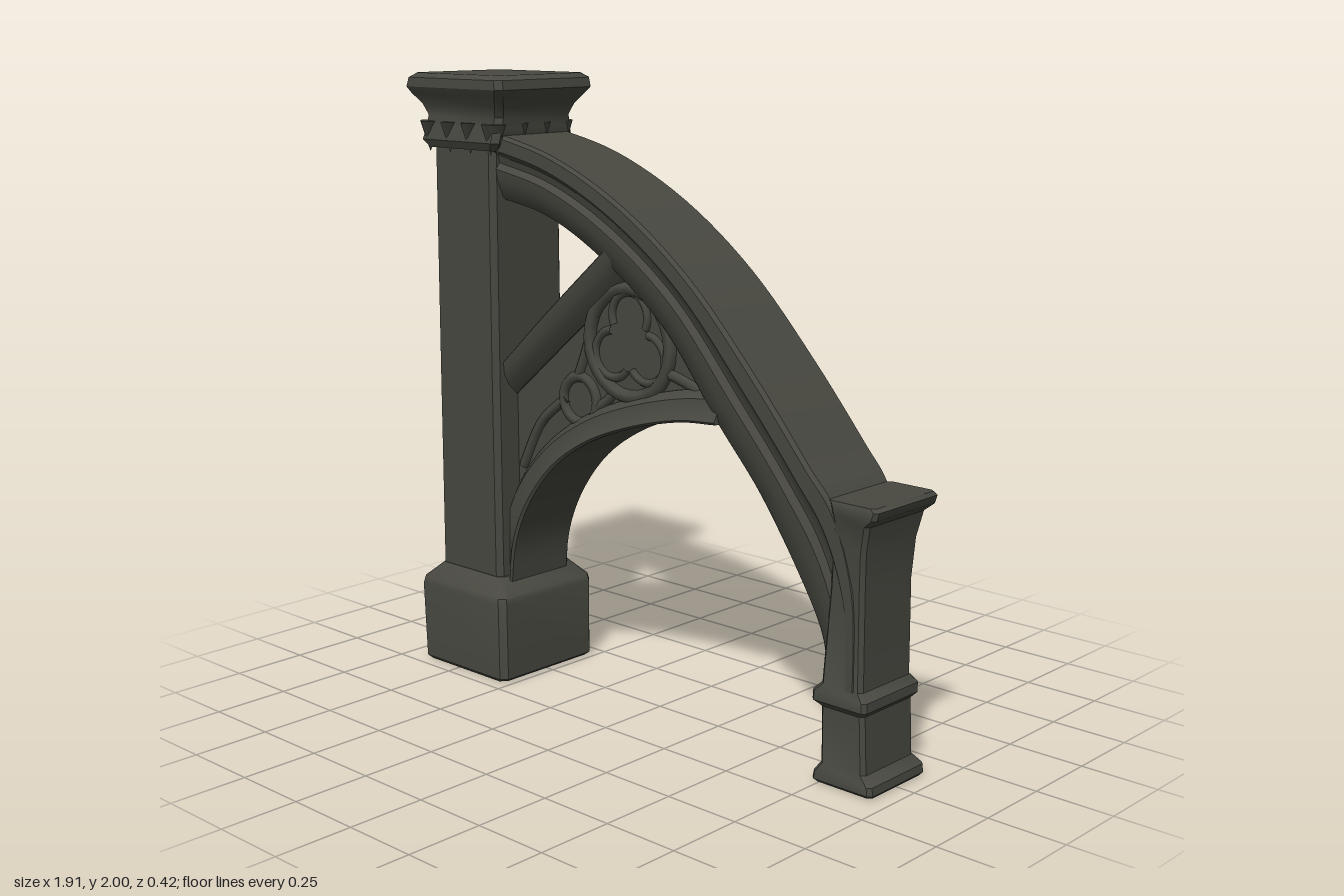
import * as THREE from 'three';
import { toCreasedNormals } from 'three/addons/utils/BufferGeometryUtils.js';

const stone = new THREE.MeshStandardMaterial({ color: 0x484841 });
stone.name = 'darkStone';

// Closed solid through a list of equal-length rings (counterclockwise about the advance direction)
function loft(rings, crease = 0.6) {
  const n = rings[0].length, pos = [], idx = [];
  rings.forEach(r => r.forEach(p => pos.push(...p)));
  for (let i = 0; i < rings.length - 1; i++) {
    for (let j = 0; j < n; j++) {
      const a = i * n + j, b = i * n + (j + 1) % n;
      idx.push(a, b, a + n, b, b + n, a + n);
    }
  }
  const cap = (ring, base, flip) => {
    const c = pos.length / 3;
    pos.push(...[0, 1, 2].map(k => ring.reduce((s, p) => s + p[k], 0) / n));
    for (let j = 0; j < n; j++) {
      const a = base + j, b = base + (j + 1) % n;
      idx.push(c, flip ? b : a, flip ? a : b);
    }
  };
  cap(rings[0], 0, true);
  cap(rings[rings.length - 1], (rings.length - 1) * n, false);
  const g = new THREE.BufferGeometry();
  g.setAttribute('position', new THREE.Float32BufferAttribute(pos, 3));
  g.setIndex(idx);
  return toCreasedNormals(g, crease);
}

// Stacked rectangular block with chamfered corners; levels are [y, xMin, xMax, halfDepth]
function stack(levels, c) {
  return loft(levels.map(([y, x0, x1, d]) => [
    [x1, y, d - c], [x1, y, c - d], [x1 - c, y, -d], [x0 + c, y, -d],
    [x0, y, c - d], [x0, y, d - c], [x0 + c, y, d], [x1 - c, y, d],
  ]));
}

// Rib between an upper and a lower curve; profile is [fraction from upper to lower, half depth]
function rib(upper, lower, profile, steps, taper = () => 1) {
  const curve = pts => new THREE.CatmullRomCurve3(pts.map(([x, y]) => new THREE.Vector3(x, y, 0)));
  const u = curve(upper), l = curve(lower);
  const loop = [...profile, ...profile.map(([t, z]) => [t, -z]).reverse()];
  const rings = [];
  for (let i = 0; i <= steps; i++) {
    const s = i / steps, a = u.getPoint(s), b = l.getPoint(s);
    rings.push(loop.map(([t, z]) => [a.x + (b.x - a.x) * t, a.y + (b.y - a.y) * t, z * taper(s)]));
  }
  return loft(rings);
}

export function createModel() {
  const model = new THREE.Group();
  model.name = 'flyingButtress';
  const add = (name, geometry, parent = model) => {
    const m = new THREE.Mesh(geometry, stone);
    m.name = name;
    parent.add(m);
    return m;
  };

  // Main column
  add('columnBase', stack([
    [0, -0.91, -0.53, 0.2], [0.012, -0.925, -0.515, 0.21], [0.27, -0.935, -0.515, 0.212],
    [0.29, -0.93, -0.52, 0.208], [0.345, -0.875, -0.575, 0.16],
  ], 0.02));
  add('columnShaft', stack([
    [0.3, -0.88, -0.585, 0.157], [1, -0.88, -0.588, 0.156], [1.82, -0.88, -0.59, 0.153],
  ], 0.018));
  add('capital', stack([
    [1.76, -0.9, -0.565, 0.165], [1.785, -0.92, -0.55, 0.178], [1.83, -0.905, -0.545, 0.17],
    [1.865, -0.905, -0.545, 0.163], [1.9, -0.92, -0.53, 0.175], [1.935, -0.945, -0.505, 0.2],
    [1.955, -0.955, -0.49, 0.212], [1.985, -0.945, -0.495, 0.21], [2, -0.925, -0.515, 0.19],
  ], 0.02));

  // Hanging leaf tips under the capital
  const leaves = new THREE.Group();
  leaves.name = 'capitalLeaves';
  model.add(leaves);
  for (let side = 0; side < 4; side++) {
    const a = side * Math.PI / 2, reach = side % 2 ? 0.165 : 0.16;
    for (let k = -1.5; k <= 1.5; k++) {
      const leaf = add('leafTip', new THREE.ConeGeometry(0.04, 0.1, 4), leaves);
      const w = k * 0.098;
      leaf.position.set(-0.735 + Math.sin(a) * reach + Math.cos(a) * w, 1.795,
        Math.cos(a) * reach - Math.sin(a) * w);
      leaf.rotation.set(Math.PI, 0, 0);
    }
  }

  // Outer arch with moulded sides, narrowing into the small pier
  add('archRib', rib(
    [[-0.62, 1.825], [-0.32, 1.755], [-0.02, 1.62], [0.25, 1.43], [0.5, 1.18], [0.7, 0.95], [0.79, 0.84], [0.86, 0.6], [0.87, 0.28]],
    [[-0.62, 1.608], [-0.4, 1.565], [-0.17, 1.46], [0.1, 1.27], [0.33, 1.0], [0.5, 0.81], [0.64, 0.6], [0.725, 0.42], [0.742, 0.27]],
    [[0, 0.14], [0.05, 0.15], [0.25, 0.15], [0.34, 0.128], [0.45, 0.122], [0.54, 0.137], [0.7, 0.132], [0.95, 0.11], [1, 0.1]],
    48, s => 1 - 0.17 * THREE.MathUtils.smoothstep(s, 0.65, 0.9)));

  // Small pier
  add('pier', stack([
    [0, 0.735, 0.935, 0.125], [0.01, 0.725, 0.943, 0.135], [0.035, 0.73, 0.94, 0.135],
    [0.06, 0.747, 0.908, 0.122], [0.235, 0.745, 0.9, 0.122], [0.252, 0.72, 0.915, 0.135],
    [0.282, 0.722, 0.915, 0.135], [0.305, 0.745, 0.892, 0.122], [0.6, 0.77, 0.89, 0.122],
    [0.72, 0.78, 0.897, 0.13], [0.8, 0.79, 0.915, 0.14], [0.825, 0.79, 0.945, 0.15],
    [0.85, 0.785, 0.953, 0.15], [0.86, 0.775, 0.94, 0.145],
  ], 0.012));

  // Lower curved rib and diagonal strut
  const moulding = [[0, 0.07], [0.25, 0.105], [0.6, 0.11], [0.92, 0.132], [1, 0.125]];
  add('lowerRib', rib(
    [[-0.62, 0.36], [-0.62, 0.55], [-0.56, 0.68], [-0.42, 0.83], [-0.23, 0.95], [-0.02, 1.03], [0.18, 1.08], [0.33, 1.1]],
    [[-0.562, 0.3], [-0.54, 0.46], [-0.48, 0.6], [-0.36, 0.75], [-0.2, 0.86], [0, 0.94], [0.2, 0.99], [0.34, 1.002]],
    moulding, 32));
  add('diagonalStrut', rib(
    [[-0.61, 1.06], [-0.4, 1.25], [-0.12, 1.49]], [[-0.61, 0.94], [-0.36, 1.15], [-0.06, 1.4]],
    [[0, 0.11], [0.08, 0.122], [0.4, 0.118], [0.7, 0.1], [1, 0.065]], 12));

  // Recessed panel filling the spandrel
  const web = new THREE.Shape([[-0.61, 0.45], [-0.5, 0.68], [-0.36, 0.81], [-0.2, 0.91], [0, 0.98],
    [0.32, 1.04], [0.16, 1.28], [-0.1, 1.43], [-0.61, 1]].map(p => new THREE.Vector2(...p)));
  const webGeometry = new THREE.ExtrudeGeometry(web, { depth: 0.12, bevelEnabled: false });
  add('spandrelPanel', webGeometry.translate(0, 0, -0.06));

  // Raised tracery on both faces
  for (const side of [1, -1]) {
    const tracery = new THREE.Group();
    tracery.name = side > 0 ? 'frontTracery' : 'backTracery';
    model.add(tracery);
    const ring = (name, x, y, r, tube, arc = Math.PI * 2, turn = 0) => {
      const m = add(name, new THREE.TorusGeometry(r, tube, 6, 28, arc), tracery);
      m.position.set(x, y, side * 0.062);
      m.rotation.z = turn;
    };
    ring('largeRing', -0.07, 1.19, 0.172, 0.024);
    ring('smallRing', -0.29, 0.98, 0.075, 0.018);
    // Three-lobed cusps inside the large ring
    for (let k = 0; k < 3; k++) {
      const a = Math.PI / 2 + k * Math.PI * 2 / 3;
      ring('cusp', -0.07 + Math.cos(a) * 0.085, 1.19 + Math.sin(a) * 0.085, 0.075, 0.014, Math.PI * 1.3, a - Math.PI * 0.65);
    }
    // Curved bars joining the rings to the ribs
    [[[-0.56, 0.72], [-0.47, 0.88], [-0.35, 0.98]], [[-0.3, 1.05], [-0.27, 1.12], [-0.24, 1.2]],
      [[-0.22, 0.96], [-0.16, 1.0], [-0.13, 1.04]], [[0.08, 1.12], [0.16, 1.1], [0.25, 1.07]]].forEach(pts => {
      const path = new THREE.CatmullRomCurve3(pts.map(([x, y]) => new THREE.Vector3(x, y, side * 0.06)));
      add('traceryBar', new THREE.TubeGeometry(path, 8, 0.018, 6), tracery);
    });
  }
  return model;
}
